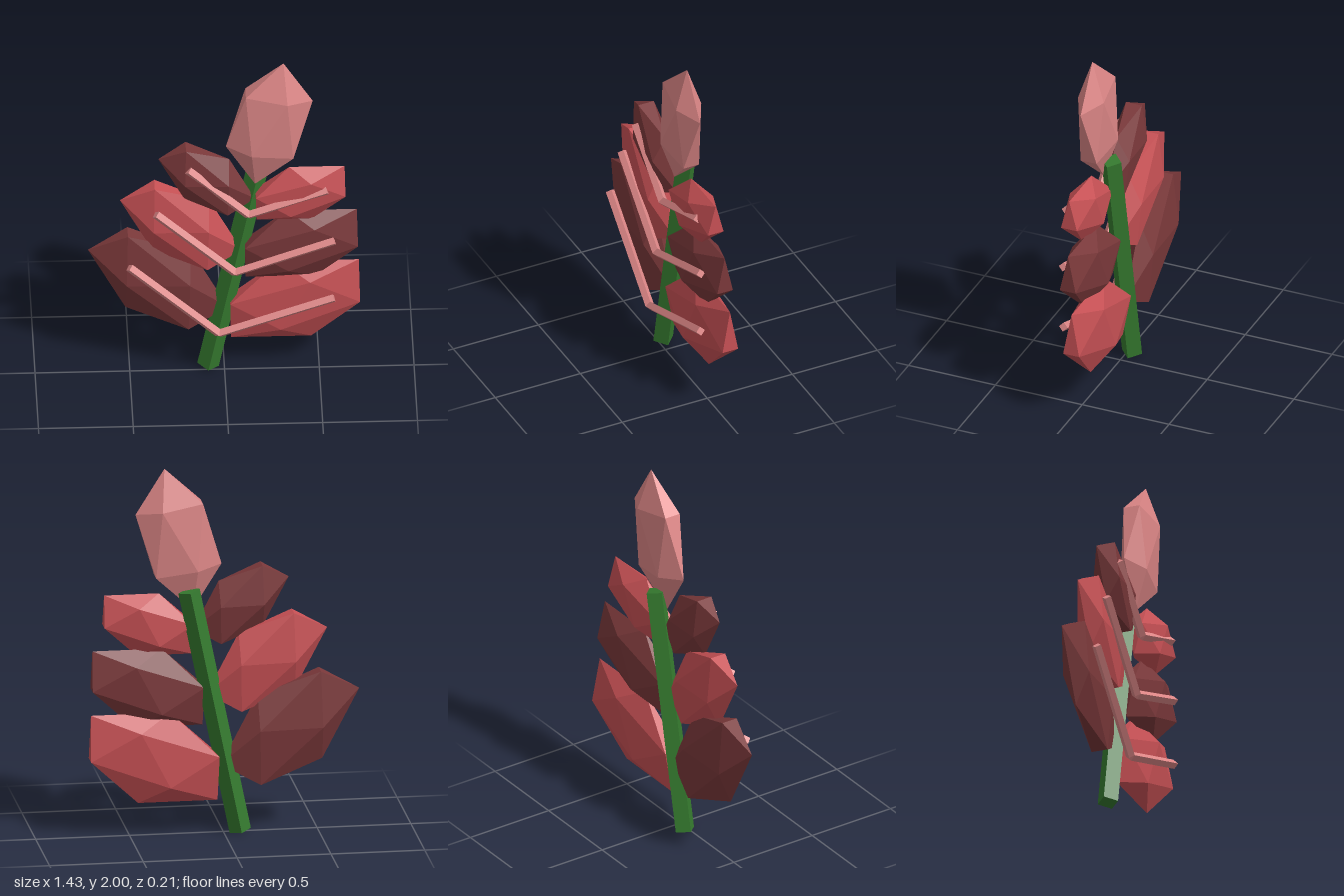
import * as THREE from 'three';

const paint = (name, color) => {
  const m = new THREE.MeshStandardMaterial({ color, flatShading: true });
  m.name = name;
  return m;
};

export function createModel() {
  const green = paint('stemGreen', 0x357a2f);
  const red = paint('leafRed', 0xc65054);
  const dark = paint('leafMaroon', 0x7a383a);
  const pink = paint('budPink', 0xdc8686);
  const group = new THREE.Group();
  group.name = 'leafSprig';

  const add = (name, geometry, material) => {
    const mesh = new THREE.Mesh(geometry, material);
    mesh.name = name;
    group.add(mesh);
    return mesh;
  };

  // Four-sided rod between two points, a corner facing front
  const rod = (name, a, b, radius, material) => {
    const from = new THREE.Vector3(...a), to = new THREE.Vector3(...b);
    const dir = to.clone().sub(from);
    const mesh = add(name, new THREE.CylinderGeometry(radius, radius, dir.length(), 4), material);
    mesh.position.copy(from).add(to).multiplyScalar(0.5);
    mesh.rotation.z = Math.atan2(-dir.x, dir.y);
  };

  // Flattened, skewed icosahedron; edge and corner are offsets from its centre
  const leaf = (name, center, edge, corner, size, material) => {
    const u = 0.5257, v = 0.8507;
    const x = edge.map((e) => (e * size) / v);
    let y = corner.map((c, i) => (c * size - u * x[i]) / v);
    if (x[0] * y[1] < x[1] * y[0]) y = y.map((n) => -n);
    const g = new THREE.IcosahedronGeometry(1, 0);
    g.applyMatrix4(new THREE.Matrix4().set(
      x[0], y[0], 0, center[0],
      x[1], y[1], 0, center[1],
      0, 0, 0.087, center[2],
      0, 0, 0, 1));
    g.computeVertexNormals();
    add(name, g, material);
  };

  // Stem
  rod('stem', [-0.086, 0.012, -0.03], [0.187, 1.338, -0.03], 0.058, green);

  // Leaf pairs, shrinking upwards with alternating colours
  const tiers = [
    { size: 1, left: [0.3725, 0.43, -0.03], right: [-0.35, 0.575, -0.035], colors: [red, dark],
      vein: [[-0.505, 0.728], [-0.032, 0.288], [0.575, 0.502]] },
    { size: 0.87, left: [0.405, 0.808, -0.005], right: [-0.23, 0.935, -0.012], colors: [dark, red],
      vein: [[-0.365, 1.07], [0.052, 0.682], [0.577, 0.873]] },
    { size: 0.69, left: [0.4, 1.15, 0.017], right: [-0.095, 1.25, 0.012], colors: [red, dark],
      vein: [[-0.195, 1.352], [0.124, 1.055], [0.54, 1.203]] },
  ];
  tiers.forEach(({ size, left, right, colors, vein }, i) => {
    leaf(`leftLeaf${i + 1}`, left, [0.3425, 0], [0.3375, 0.245], size, colors[0]);
    leaf(`rightLeaf${i + 1}`, right, [-0.16, 0.305], [-0.37, 0.195], size, colors[1]);
    const [a, b, c] = vein.map((p) => [...p, 0.076]);
    rod(`rightVein${i + 1}`, b, a, 0.025, pink);
    rod(`leftVein${i + 1}`, b, c, 0.025, pink);
  });

  // Bud at the tip
  leaf('tipBud', [0.235, 1.61, 0.025], [-0.125, 0.2], [0.075, 0.39], 1, pink);

  return group;
}
